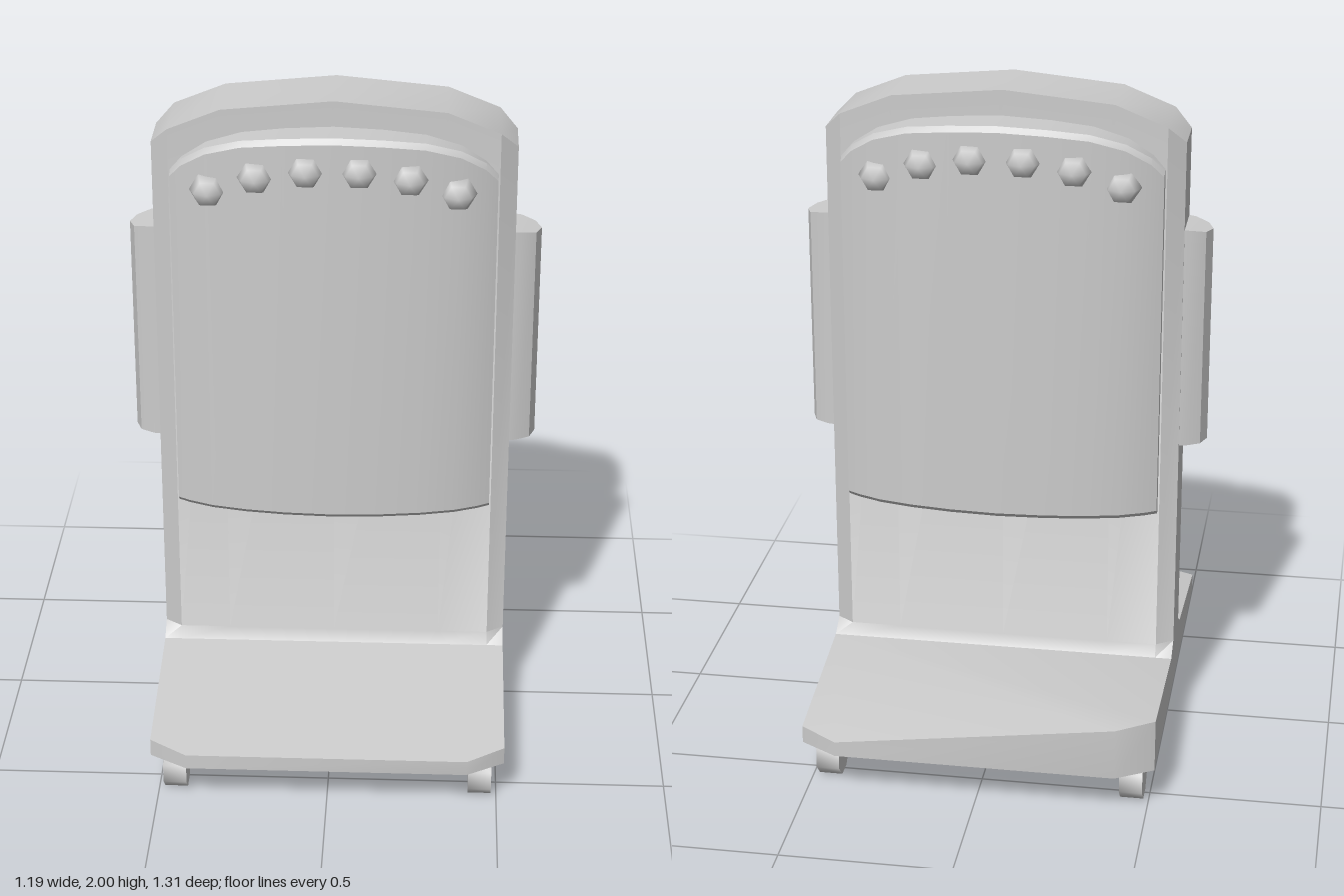
import * as THREE from 'three';
import { toCreasedNormals } from 'three/addons/utils/BufferGeometryUtils.js';

const grey = new THREE.MeshStandardMaterial({ color: 0xcccccc, side: THREE.DoubleSide });
grey.name = 'light grey';

// Mesh from a list of polygons (arrays of [x, y, z]), each split as a fan
function polyMesh(name, polys, crease = 0.6) {
  const pos = [];
  for (const p of polys) {
    for (let i = 1; i < p.length - 1; i++) pos.push(...p[0], ...p[i], ...p[i + 1]);
  }
  let geo = new THREE.BufferGeometry();
  geo.setAttribute('position', new THREE.Float32BufferAttribute(pos, 3));
  geo = toCreasedNormals(geo, crease);
  const mesh = new THREE.Mesh(geo, grey);
  mesh.name = name;
  return mesh;
}

// Upright slab. stations: [x, zBack, zFront, topY] from -x to +x.
// low rows: [y, zRule]; high rows: [drop below topY, zRule].
function slab(name, stations, low, high, closedBottom) {
  const ring = (yOf, rule) => [
    ...stations.map((s) => [s[0], yOf(s), rule(s[2])]),
    ...[...stations].reverse().map((s) => [s[0], yOf(s), rule(s[1])]),
  ];
  const rings = [
    ...low.map(([y, rule]) => ring(() => y, rule)),
    ...high.map(([drop, rule]) => ring((s) => s[3] - drop, rule)),
  ];
  const polys = [];
  const m = stations.length * 2;
  for (let r = 0; r < rings.length - 1; r++) {
    for (let i = 0; i < m; i++) {
      const j = (i + 1) % m;
      polys.push([rings[r][i], rings[r][j], rings[r + 1][j], rings[r + 1][i]]);
    }
  }
  const top = rings[rings.length - 1];
  const bottom = rings[0];
  for (let i = 0; i < stations.length - 1; i++) {
    const a = m - 1 - i;
    polys.push([top[i], top[i + 1], top[a - 1], top[a]]);
    if (closedBottom) polys.push([bottom[a], bottom[a - 1], bottom[i + 1], bottom[i]]);
  }
  return polyMesh(name, polys);
}

// Half a list of stations (x >= 0), mirrored to both sides
const mirrored = (half) => [
  ...half.slice(1).reverse().map(([x, ...rest]) => [-x, ...rest]),
  ...half,
];

export function createModel() {
  const model = new THREE.Group();
  model.name = 'rollingStand';
  const same = (z) => z;
  const inset = (z) => z - Math.sign(z) * 0.015;

  // Hollow base plate: chamfered outline, sloped top, one raised rear corner
  const outline = [
    [-0.41, 0.175, 0.655], [0.41, 0.175, 0.655], [0.52, 0.183, 0.59],
    [0.52, 0.25, 0.13], [0.52, 0.25, -0.13],
    [0.52, 0.183, -0.59], [0.41, 0.175, -0.655], [-0.41, 0.285, -0.655],
    [-0.52, 0.29, -0.59], [-0.52, 0.25, -0.13],
    [-0.52, 0.25, 0.13], [-0.52, 0.183, 0.59],
  ];
  const floor = outline.map(([x, , z]) => [x, 0.13, z]);
  const basePolys = outline.map((p, i) => {
    const j = (i + 1) % outline.length;
    return [floor[i], floor[j], outline[j], p];
  });
  basePolys.push([10, 11, 0, 1, 2, 3].map((i) => outline[i]));
  basePolys.push([4, 5, 6, 7, 8, 9].map((i) => outline[i]));
  model.add(polyMesh('base', basePolys));

  // Column with an arched top, flared where it meets the base
  model.add(slab('column', mirrored([
    [0, -0.11, 0.11, 2.0], [0.32, -0.11, 0.11, 1.97],
    [0.47, -0.11, 0.11, 1.91], [0.52, -0.075, 0.075, 1.86],
  ]), [[0.25, (z) => Math.sign(z) * 0.13], [0.285, same]], [[0, same]], false));

  // Bulging panels on the front and back
  model.add(slab('panels', mirrored([
    [0, -0.232, 0.217, 1.925], [0.14, -0.225, 0.21, 1.918],
    [0.26, -0.21, 0.195, 1.905], [0.36, -0.188, 0.173, 1.875],
    [0.43, -0.16, 0.145, 1.83], [0.465, -0.14, 0.125, 1.79],
  ]), [[0.73, inset], [0.745, same]], [[0.015, same], [0, inset]], true));

  // Rounded grips on both sides
  for (const side of [1, -1]) {
    const stations = [
      [0.5, -0.075, 0.075, 1.6], [0.54, -0.068, 0.068, 1.597],
      [0.58, -0.045, 0.045, 1.588], [0.597, 0, 0, 1.585],
    ].map(([x, ...rest]) => [x * side, ...rest]);
    if (side < 0) stations.reverse();
    model.add(slab(side > 0 ? 'leftGrip' : 'rightGrip', stations,
      [[0.93, same]], [[0, same]], true));
  }

  // Arched rows of knobs
  const knobGeo = new THREE.SphereGeometry(0.054, 6, 4).rotateX(Math.PI / 2);
  for (const [x, y, front, back] of [
    [0.075, 1.825, 0.198, -0.213], [0.217, 1.802, 0.187, -0.2], [0.352, 1.752, 0.163, -0.172],
  ]) {
    for (const side of [1, -1]) {
      for (const z of [front, back]) {
        const knob = new THREE.Mesh(knobGeo, grey);
        knob.name = z > 0 ? 'frontKnob' : 'backKnob';
        knob.position.set(x * side, y, z);
        model.add(knob);
      }
    }
  }

  // Eight-sided caster wheels
  const wheelGeo = toCreasedNormals(
    new THREE.CylinderGeometry(0.0735, 0.0735, 0.068, 8)
      .rotateY(Math.PI / 8).rotateZ(Math.PI / 2), 0.9);
  for (const x of [0.45, -0.45]) {
    for (const z of [0.528, -0.508]) {
      const wheel = new THREE.Mesh(wheelGeo, grey);
      wheel.name = 'casterWheel';
      wheel.position.set(x, 0.068, z);
      model.add(wheel);
    }
  }
  return model;
}
